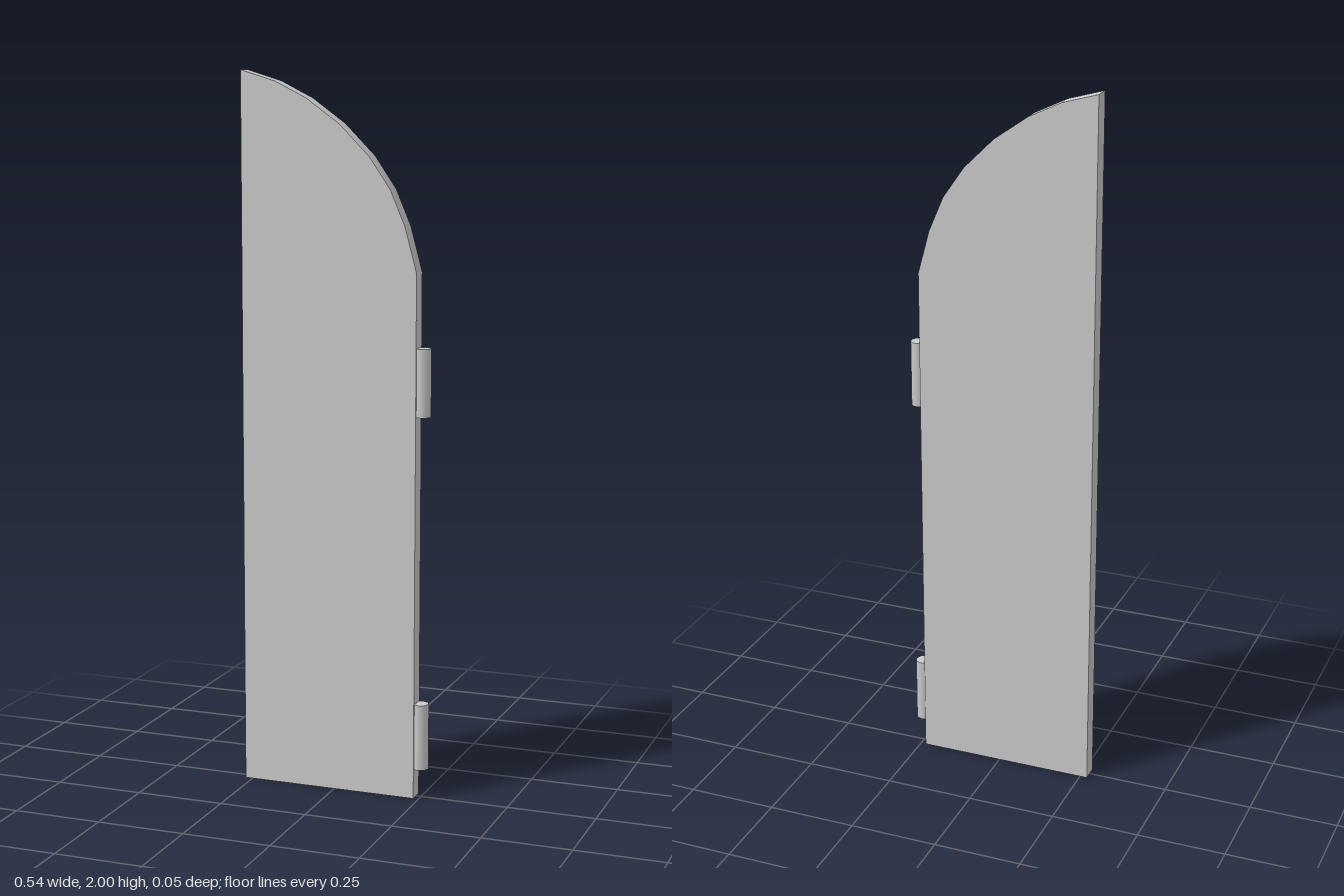
import * as THREE from 'three';
import { toCreasedNormals } from 'three/addons/utils/BufferGeometryUtils.js';

const THICKNESS = 0.048;

export function createModel() {
  const group = new THREE.Group();
  group.name = 'archedDoorLeaf';
  const material = new THREE.MeshStandardMaterial({ color: 0xcccccc });

  // Door panel: straight sides with a faceted quarter arch on top
  const outline = [
    [-0.271, 0], [0.235, 0], [0.235, 1.465], [0.202, 1.587], [0.16, 1.685], [0.1, 1.772],
    [0.015, 1.857], [-0.08, 1.925], [-0.171, 1.97], [-0.271, 2],
  ].map(([x, y]) => new THREE.Vector2(x, y));
  const panelGeometry = new THREE.ExtrudeGeometry(new THREE.Shape(outline), {
    depth: THICKNESS, bevelEnabled: false,
  });
  panelGeometry.translate(0, 0, -THICKNESS / 2);
  const panel = new THREE.Mesh(toCreasedNormals(panelGeometry, 0.6), material);
  panel.name = 'doorPanel';
  group.add(panel);

  // Hinge barrels half sunk into the straight edge
  const barrel = new THREE.CylinderGeometry(THICKNESS / 2, THICKNESS / 2, 0.187, 8);
  [['lowerHinge', 0.176], ['upperHinge', 1.168]].forEach(([name, y]) => {
    const hinge = new THREE.Mesh(barrel, material);
    hinge.name = name;
    hinge.position.set(0.247, y, 0);
    group.add(hinge);
  });

  return group;
}
